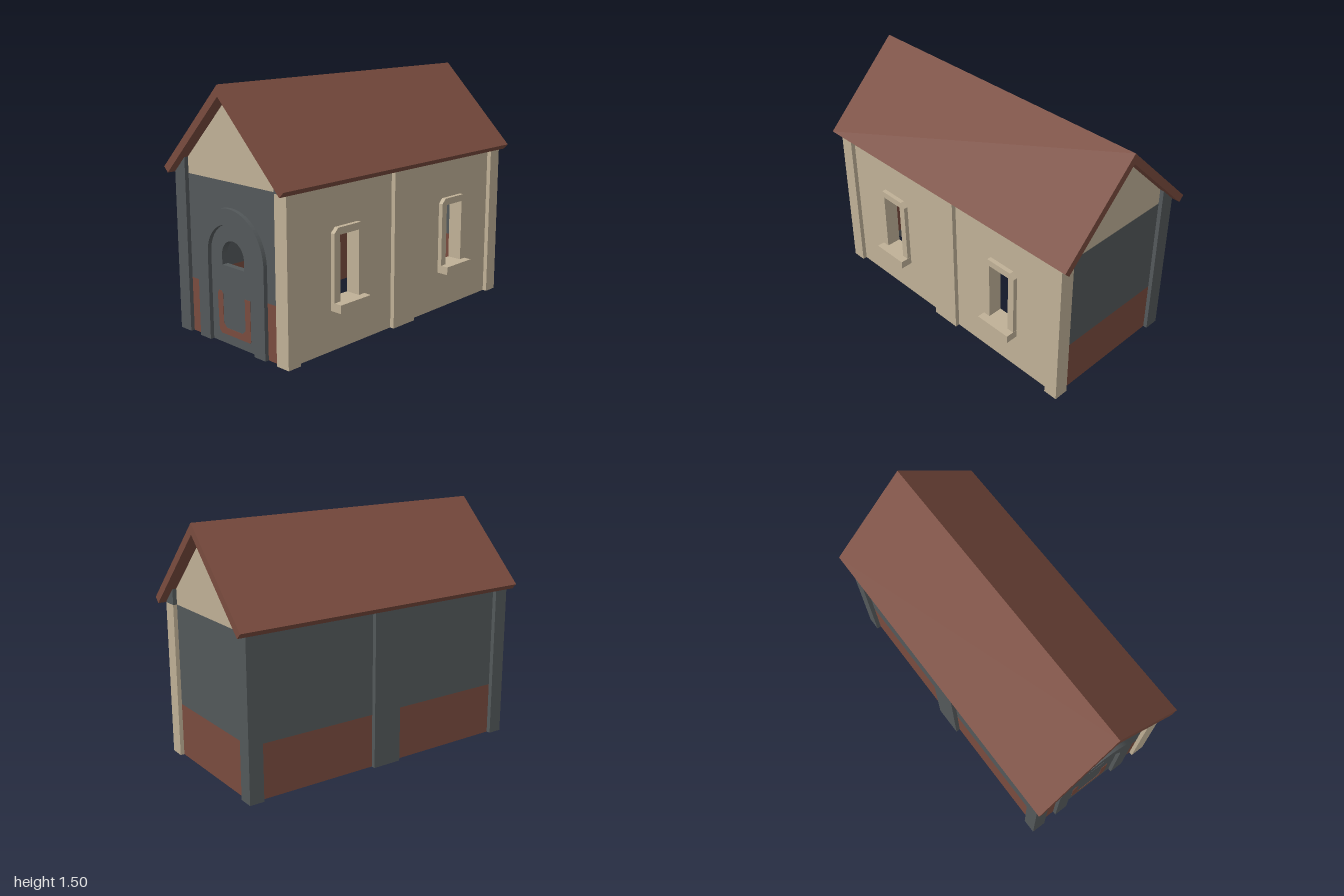
import * as THREE from 'three';

const mat = (name, color) => {
  const m = new THREE.MeshStandardMaterial({ color });
  m.name = name;
  return m;
};

export function createModel() {
  const beige = mat('beige plaster', 0xbfb096);
  const slate = mat('slate grey', 0x53585a);
  const brown = mat('red brown', 0x794b3e);

  const root = new THREE.Group();
  root.name = 'chapel';
  const house = new THREE.Group();
  house.name = 'building';
  house.position.x = -0.0075;
  root.add(house);

  const add = (name, geo, material) => {
    const m = new THREE.Mesh(geo, material);
    m.name = name;
    house.add(m);
    return m;
  };
  // Box given by its limits on each axis
  const box = (name, material, x0, x1, y0, y1, z0, z1) =>
    add(name, new THREE.BoxGeometry(x1 - x0, y1 - y0, z1 - z0)
      .translate((x0 + x1) / 2, (y0 + y1) / 2, (z0 + z1) / 2), material);
  // Outline in x and y, extruded from z0 to z1
  const slab = (shape, z0, z1) =>
    new THREE.ExtrudeGeometry(shape, { depth: z1 - z0, bevelEnabled: false, curveSegments: 24 })
      .translate(0, 0, z0);
  const poly = (pts) => new THREE.Shape(pts.map(([x, y]) => new THREE.Vector2(x, y)));
  const rectPath = (x0, x1, y0, y1) => poly([[x0, y0], [x1, y0], [x1, y1], [x0, y1]]);

  // Roof: two slabs at 45 degrees meeting in the ridge
  const ridge = 1.495, under = 1.43;
  for (const s of [1, -1]) {
    const pts = [[0, under], [s * 0.475, 0.955], [s * 0.5075, 0.9875], [0, ridge]];
    add(s > 0 ? 'roofLeft' : 'roofRight', slab(poly(pts), -1, 1), brown);
  }

  // Pillars: their tops follow the slope of the roof
  const pillarIn = 0.379, pillarOut = 0.4725, eave = 0.955;
  for (const s of [1, -1]) {
    for (const [z0, z1] of [[0.86, 0.95], [-0.095, 0.095], [-0.95, -0.86]]) {
      const x0 = s > 0 ? pillarIn : -pillarOut;
      const x1 = s > 0 ? pillarOut : -pillarIn;
      box('pillar', s > 0 ? beige : slate, x0, x1, 0, eave, z0, z1);
      const top = [[s * pillarIn, eave], [s * pillarOut, eave],
        [s * pillarOut, under - pillarOut], [s * pillarIn, under - pillarIn]];
      add('pillarTop', slab(poly(top), z0, z1), slate);
    }
  }

  // Plain side wall with a painted lower band
  box('sideWallBand', brown, -0.445, -0.405, 0, 0.33, -0.92, 0.92);
  box('sideWall', slate, -0.445, -0.405, 0.33, 0.985, -0.92, 0.92);

  // Side wall with two window openings
  const winZ = [-0.478, 0.478];
  const sill = 0.29, head = 0.675, halfW = 0.076;
  const wall = rectPath(-0.92, 0.92, 0, 0.985);
  for (const z of winZ) wall.holes.push(rectPath(z - halfW, z + halfW, sill, head));
  add('windowWall', slab(wall, 0.405, 0.445).rotateY(Math.PI / 2), beige);

  // Window surrounds with clipped upper corners, and sills
  for (const z of winZ) {
    const w = 0.121, c = 0.03, t = 0.717, b = 0.24;
    const frame = poly([[-w, b], [w, b], [w, t - c], [w - c, t], [c - w, t], [-w, t - c]]);
    frame.holes.push(rectPath(-halfW, halfW, sill, head));
    add('windowFrame', slab(frame, pillarIn, pillarOut).rotateY(Math.PI / 2).translate(0, 0, z), beige);
    box('windowSill', beige, 0.44, 0.5225, b, sill, z - 0.122, z + 0.122);
  }

  // End walls: band, upper wall and gable
  const gable = poly([[-0.475, eave], [0.475, eave], [0, under]]);
  add('frontGable', slab(gable, 0.885, 0.925), beige);
  add('backGable', slab(gable, -0.925, -0.885), beige);
  box('backBand', brown, -0.42, 0.42, 0, 0.33, -0.925, -0.885);
  box('backWall', slate, -0.42, 0.42, 0.33, eave, -0.925, -0.885);
  box('frontBand', brown, -0.42, -0.24, 0, 0.33, 0.885, 0.925);
  box('frontBand', brown, 0.24, 0.42, 0, 0.33, 0.885, 0.925);
  box('doorLower', slate, -0.24, 0.24, 0, 0.33, 0.885, 0.925);

  // Round-headed outline
  const arch = (r, y0, cy) => {
    const p = new THREE.Shape();
    p.moveTo(-r, y0);
    p.lineTo(r, y0);
    p.lineTo(r, cy);
    p.absarc(0, cy, r, 0, Math.PI, false);
    p.lineTo(-r, y0);
    return p;
  };
  const front = rectPath(-0.42, 0.42, 0.33, eave);
  front.holes.push(arch(0.095, 0.467, 0.525));
  add('frontWallAndDoor', slab(front, 0.885, 0.925), slate);

  // Door surround: one outline running up the outside and back down the inside
  const surround = new THREE.Shape();
  surround.moveTo(0.1925, 0);
  surround.lineTo(0.285, 0);
  surround.absarc(0, 0.525, 0.285, 0, Math.PI, false);
  surround.lineTo(-0.285, 0);
  surround.lineTo(-0.1925, 0);
  surround.absarc(0, 0.525, 0.1925, Math.PI, 0, true);
  add('doorSurround', slab(surround, 0.86, 0.95), slate);

  // Painted U on both faces of the door
  const u = poly([[-0.115, 0.055], [0.135, 0.055], [0.14, 0.065], [0.14, 0.305], [0.095, 0.305],
    [0.095, 0.12], [0.07, 0.095], [-0.07, 0.095], [-0.095, 0.12], [-0.095, 0.295], [-0.11, 0.31],
    [-0.13, 0.31], [-0.142, 0.29], [-0.135, 0.075]]);
  add('doorMarkFront', slab(u, 0.924, 0.927), brown);
  add('doorMarkBack', slab(u, 0.883, 0.886), brown);

  return root;
}
